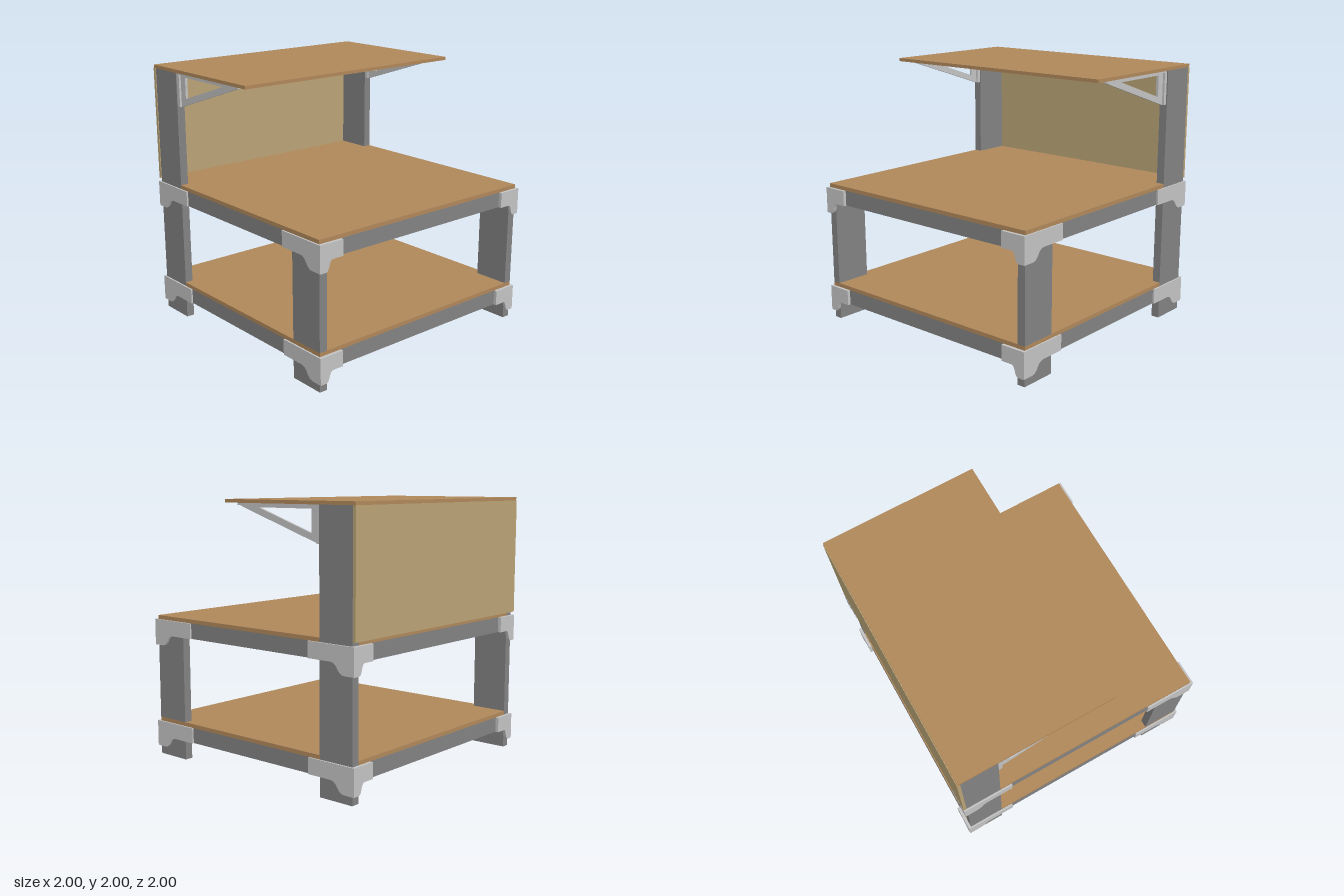
import * as THREE from 'three';

const mat = (name, color) => {
  const m = new THREE.MeshStandardMaterial({ color });
  m.name = name;
  return m;
};

export function createModel() {
  const wood = mat('wood', 0xaf875a);
  const board = mat('backBoardTan', 0xb9a376);
  const grey = mat('frameGrey', 0x828282);
  const light = mat('bracketGrey', 0xc2c2c2);
  const root = new THREE.Group();
  root.name = 'workbench';

  const add = (name, geo, material) => {
    const m = new THREE.Mesh(geo, material);
    m.name = name;
    root.add(m);
  };
  // Box given by its limits on each axis
  const box = (name, material, x0, x1, y0, y1, z0, z1) => {
    const g = new THREE.BoxGeometry(x1 - x0, y1 - y0, z1 - z0);
    g.translate((x0 + x1) / 2, (y0 + y1) / 2, (z0 + z1) / 2);
    add(name, g, material);
  };
  const extrude = (shape, depth) =>
    new THREE.ExtrudeGeometry(shape, { depth, bevelEnabled: false, curveSegments: 8 });
  // Profile drawn in (z, y), thickened from x0 to x1
  const extrudeAcross = (shape, x0, x1) => extrude(shape, x1 - x0).rotateY(-Math.PI / 2).translate(x1, 0, 0);

  const OUT = 0.987, IN = 0.924, Z = 0.976, LEG = 0.69;

  // Legs: the front pair is interrupted by the lower shelf, the back pair is full height
  for (const s of [-1, 1]) {
    const x0 = s < 0 ? -OUT : IN, x1 = s < 0 ? -IN : OUT;
    box('frontFoot', grey, x0, x1, 0, 0.265, LEG, Z);
    box('frontLeg', grey, x0, x1, 0.295, 1.07, LEG, Z);
    box('backLeg', grey, x0, x1, 0, 1.975, -Z, -LEG);
  }

  // Plate outline measured from an outer corner, with a curved step in its lower edge
  const plateShape = (s, top, len, a, b) => {
    const X = d => s * (1 - d), low = top - 0.2, mid = top - 0.118, c = (a + b) / 2;
    const p = new THREE.Shape();
    p.moveTo(X(0), top);
    p.lineTo(X(0), low);
    p.lineTo(X(a), low);
    p.quadraticCurveTo(X(a + (c - a) * 0.65), low, X(c), (low + mid) / 2);
    p.quadraticCurveTo(X(b - (b - c) * 0.65), mid, X(b), mid);
    p.lineTo(X(len), mid);
    p.lineTo(X(len), top);
    p.closePath();
    return p;
  };

  // Two levels of rails with corner brackets
  for (const top of [0.265, 1.07]) {
    const y0 = top - 0.117;
    for (const s of [-1, 1]) {
      box('sideRail', grey, s < 0 ? -OUT : IN, s < 0 ? -IN : OUT, y0, top, -LEG, LEG);
      box('crossRail', grey, -IN, IN, y0, top, s < 0 ? -Z : Z - 0.063, s < 0 ? -Z + 0.063 : Z);
      for (const sz of [-1, 1]) {
        add('cornerBracketFace',
          extrude(plateShape(s, top, 0.2, 0.05, 0.11), 1 - Z).translate(0, 0, sz < 0 ? -1 : Z), light);
        add('cornerBracketSide',
          extrudeAcross(plateShape(sz, top, 0.405, 0.08, 0.21), s < 0 ? -1 : OUT, s < 0 ? -OUT : 1), light);
      }
    }
  }

  // Shelves, notched around the back legs
  const shelf = new THREE.Shape([
    [-OUT, Z], [OUT, Z], [OUT, -LEG], [IN, -LEG], [IN, -Z], [-IN, -Z], [-IN, -LEG], [-OUT, -LEG],
  ].map(([x, z]) => new THREE.Vector2(x, -z)));
  for (const [name, y] of [['lowerShelf', 0.265], ['worktop', 1.07]])
    add(name, extrude(shelf, 0.03).rotateX(-Math.PI / 2).translate(0, y, 0), wood);
  box('topShelf', wood, -0.993, 0.986, 1.975, 2, -0.995, 0.203);
  box('backBoard', board, -0.993, 0.986, 1.097, 1.975, -1, -Z);

  // Triangular supports under the top shelf
  const web = new THREE.Shape([[-0.67, 1.96], [0.09, 1.965], [0.04, 1.945], [-0.66, 1.717], [-0.67, 1.717]]
    .map(p => new THREE.Vector2(...p)));
  web.holes.push(new THREE.Path([[-0.6, 1.946], [-0.6, 1.785], [-0.11, 1.946]]
    .map(p => new THREE.Vector2(...p))));
  for (const c of [-0.955, 0.952]) {
    add('shelfSupportWeb', extrudeAcross(web, c - 0.01, c + 0.01), light);
    box('shelfSupportUpright', light, c - 0.026, c + 0.026, 1.717, 1.965, -LEG, -0.66);
    box('shelfSupportTop', light, c - 0.022, c + 0.022, 1.96, 1.975, -LEG, 0.09);
  }

  return root;
}
